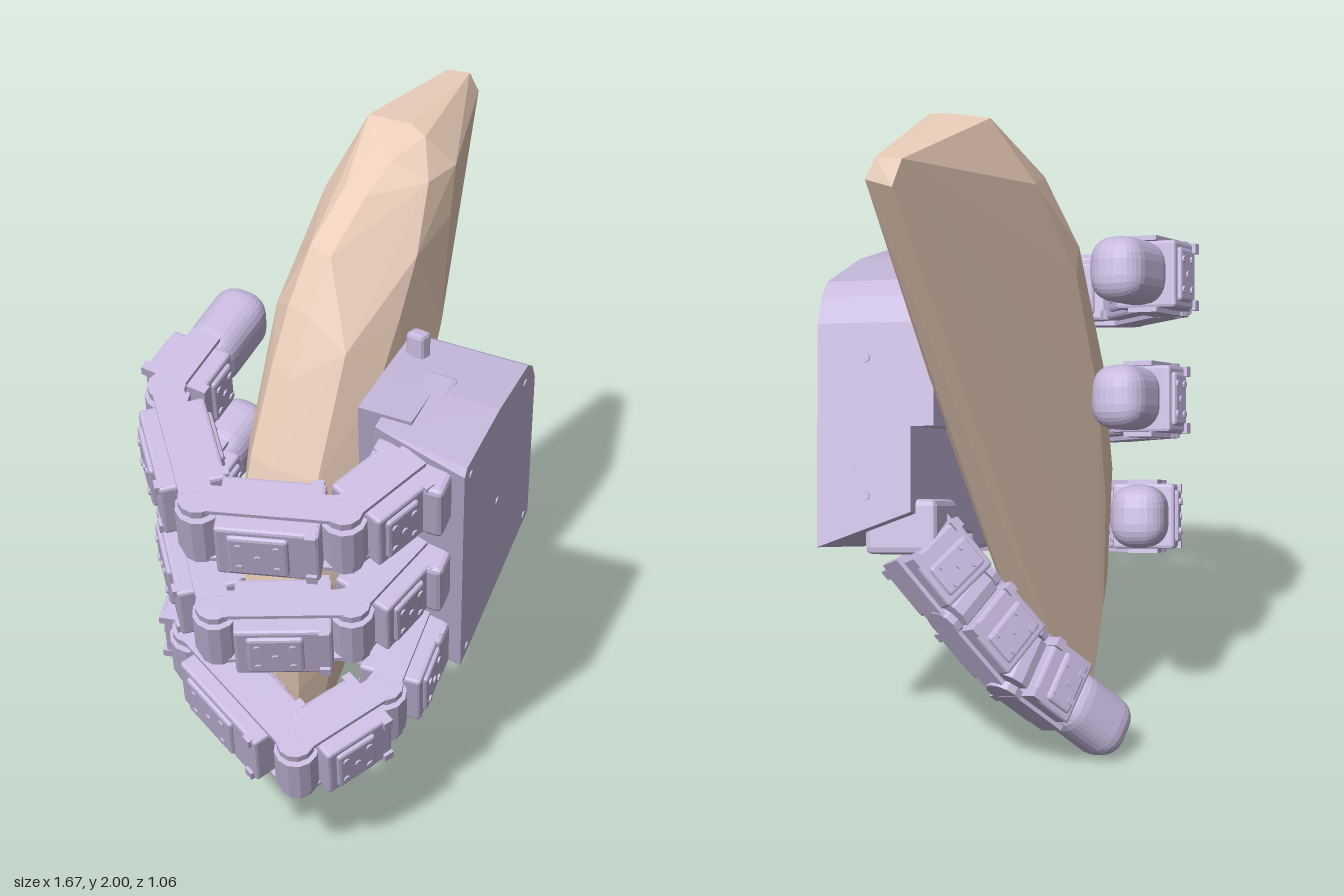
import * as THREE from 'three';
import { RoundedBoxGeometry } from 'three/addons/geometries/RoundedBoxGeometry.js';
import { ConvexGeometry } from 'three/addons/geometries/ConvexGeometry.js';

const V = (x, y, z) => new THREE.Vector3(x, y, z);
const lilac = new THREE.MeshStandardMaterial({ color: 0xc6b9dd, flatShading: true });
const tan = new THREE.MeshStandardMaterial({ color: 0xeccfbb, flatShading: true });

function add(parent, name, geometry, x = 0, y = 0, z = 0, material = lilac) {
  const mesh = new THREE.Mesh(geometry, material);
  mesh.name = name;
  mesh.position.set(x, y, z);
  parent.add(mesh);
  return mesh;
}

// Palm axes: across, along and out of its front plate
const across = V(0.57, 0.21, -0.17).normalize();
const out = across.clone().cross(V(-0.24, 0.88, 0.19)).normalize();
const along = out.clone().cross(across);
const palmPoint = (u, v, d) => V(-0.03, 0.5, 0.34)
  .addScaledVector(across, u).addScaledVector(along, v).addScaledVector(out, d);

// Group whose x axis runs from a to b, with z close to the side direction
function linkFrame(parent, name, a, b, side) {
  const x = b.clone().sub(a).normalize();
  const y = side.clone().cross(x).normalize();
  const g = new THREE.Group();
  g.name = name;
  g.quaternion.setFromRotationMatrix(new THREE.Matrix4().makeBasis(x, y, x.clone().cross(y)));
  g.position.copy(a);
  parent.add(g);
  return g;
}

// Motor block with stepped cover, side brackets and screws
function motorLink(g, length) {
  add(g, 'motorBody', new RoundedBoxGeometry(length * 0.72, 0.19, 0.2, 1, 0.01), length * 0.5);
  add(g, 'motorCover', new RoundedBoxGeometry(length * 0.42, 0.215, 0.16, 1, 0.01), length * 0.56);
  for (const s of [-1, 1]) {
    add(g, 'sideBracket', new THREE.BoxGeometry(length * 0.9, 0.09, 0.014), length * 0.5, 0, s * 0.106);
    add(g, 'bracketRib', new THREE.BoxGeometry(0.03, 0.21, 0.03), length * 0.2, 0, s * 0.085);
    for (const [i, j] of [[-1, -1], [-1, 1], [0, 0], [1, -1], [1, 1]])
      add(g, 'screw', new THREE.CylinderGeometry(0.011, 0.011, 0.012, 8),
        length * 0.56 + i * length * 0.13, s * 0.107, j * 0.045);
  }
}

// Hinge barrel with a disc on each end
function knuckle(g) {
  add(g, 'hingeBarrel', new THREE.CylinderGeometry(0.065, 0.065, 0.15, 12)).rotation.x = Math.PI / 2;
  for (const s of [-1, 1])
    add(g, 'hingeDisc', new THREE.CylinderGeometry(0.055, 0.055, 0.025, 12), 0, 0, s * 0.1).rotation.x = Math.PI / 2;
}

// Motor links along a path, ending in a rounded pad
function chain(name, path, side) {
  const finger = new THREE.Group();
  finger.name = name;
  for (let i = 0; i < path.length - 1; i++) {
    const length = path[i].distanceTo(path[i + 1]);
    const last = i === path.length - 2;
    const g = linkFrame(finger, last ? 'fingertip' : 'link', path[i], path[i + 1], side);
    if (i > 0) knuckle(g);
    motorLink(g, last ? length * 0.5 : length);
    if (last) add(g, 'tipPad', new RoundedBoxGeometry(length * 0.6, 0.165, 0.19, 3, 0.07), length * 0.7);
  }
  return finger;
}

// Faceted wedge held by the hand
function wedge() {
  const pts = [
    // straight narrow edge and both ends
    [-0.17, 0.03, -0.14], [-0.16, 0.04, -0.28], [-0.23, 0, -0.16], [-0.22, 0.01, -0.25],
    [0.83, 1.92, -0.27], [0.82, 1.91, -0.35], [0.81, 1.98, -0.29], [0.79, 1.98, -0.36],
    [0.35, 2, -0.16], [0.33, 2, -0.3], [0.33, 1.985, -0.09],
    // bulging front
    [0.25, 1.89, -0.015], [0.4, 1.89, -0.03], [0.14, 1.71, 0.03], [0.05, 1.55, 0.04], [-0.05, 1.38, 0.045],
    [-0.16, 1.08, 0.045], [-0.22, 0.8, 0.035], [-0.22, 0.5, 0], [-0.22, 0.25, -0.05],
    [0.35, 1.75, -0.01], [0.3, 1.42, 0], [0.1, 0.95, 0.02], [-0.05, 0.6, 0],
    [-0.15, 1.5, 0], [-0.29, 1.14, 0.005], [-0.37, 0.86, 0], [-0.37, 0.65, -0.015], [-0.33, 0.4, -0.045],
    // flat back, rounding towards the rim
    [0.5, 1.85, -0.36], [0.2, 1.8, -0.36], [0, 1.5, -0.36], [-0.13, 1.1, -0.355],
    [-0.2, 0.75, -0.34], [-0.22, 0.4, -0.325], [-0.21, 0.15, -0.3],
    [-0.1, 1.55, -0.3], [-0.25, 1.15, -0.29], [-0.33, 0.8, -0.275], [-0.32, 0.45, -0.27],
  ].map(p => V(...p));
  // curved rim
  for (const [x, y] of [[0.2, 1.95], [0.08, 1.88], [-0.08, 1.75], [-0.18, 1.6], [-0.26, 1.43],
    [-0.36, 1.18], [-0.43, 0.9], [-0.44, 0.73], [-0.4, 0.42], [-0.32, 0.15], [-0.27, 0.04]])
    pts.push(V(x, y, -0.11), V(x + 0.015, y, -0.2));
  return new ConvexGeometry(pts);
}

function palm() {
  const g = new THREE.Group();
  g.name = 'palm';
  const outline = [[0, 0], [0.63, 0], [0.63, 0.65], [0.6, 0.73], [0.555, 0.78], [0.3, 0.87], [0.02, 0.93], [0, 0.91]];
  const shell = [];
  const backHousing = [];
  for (const [u, v] of outline) {
    shell.push(palmPoint(u, v, 0), palmPoint(Math.max(u, 0.02), Math.max(v, 0.16 * u), -0.12));
    shell.push(palmPoint(Math.max(u, 0.07), Math.max(v, 0.04 + 0.1 * u), -0.29));
    for (const d of [-0.2, -0.36]) backHousing.push(palmPoint(Math.max(u, 0.12), Math.max(v, 0.35), d));
  }
  add(g, 'palmShell', new ConvexGeometry(shell));
  add(g, 'backHousing', new ConvexGeometry(backHousing));
  // screws on the front plate and the outer side
  const f = linkFrame(g, 'palmFittings', palmPoint(0, 0, 0), palmPoint(1, 0, 0), out);
  for (const [u, v] of [[0.05, 0.04], [0.58, 0.04], [0.05, 0.87], [0.53, 0.73], [0.3, 0.45]])
    add(f, 'plateScrew', new THREE.CylinderGeometry(0.012, 0.012, 0.008, 8), u, v, 0).rotation.x = Math.PI / 2;
  for (const v of [0.15, 0.55])
    add(f, 'sideScrew', new THREE.CylinderGeometry(0.015, 0.015, 0.01, 8), 0.63, v, -0.15).rotation.z = Math.PI / 2;
  // motor housings on the top end, left edge and thumb corner
  add(f, 'topRidge', new RoundedBoxGeometry(0.25, 0.06, 0.1, 1, 0.015), 0.26, 0.85, -0.2).rotation.z = -0.25;
  for (const v of [0.09, 0.44, 0.8])
    add(f, 'fingerMount', new RoundedBoxGeometry(0.14, 0.2, 0.24, 1, 0.015), 0, v, -0.16);
  add(f, 'thumbMount', new RoundedBoxGeometry(0.2, 0.16, 0.22, 1, 0.02), 0.49, 0.06, -0.24);
  // cable post
  add(g, 'cablePost', new RoundedBoxGeometry(0.05, 0.12, 0.06, 1, 0.012), 0.06, 1.46, 0.1);
  return g;
}

export function createModel() {
  const model = new THREE.Group();
  add(model, 'heldWedge', wedge(), 0, 0, 0, tan);
  model.add(palm());

  // Fingers curl in planes across the palm: height, then (across, out) joints
  const fingers = {
    upperFinger: [0.805, [[0.04, -0.15], [-0.22, -0.27], [-0.32, -0.66], [0.02, -0.9], [0.48, -0.84]]],
    middleFinger: [0.44, [[0.04, -0.15], [-0.26, -0.24], [-0.4, -0.6], [-0.02, -0.86], [0.37, -0.81]]],
    lowerFinger: [0.09, [[0.04, -0.15], [-0.27, -0.14], [-0.54, -0.31], [-0.28, -0.75], [0.13, -0.82]]],
  };
  for (const [name, [v, joints]] of Object.entries(fingers))
    model.add(chain(name, joints.map(([u, d]) => palmPoint(u, v, d)), along));

  // Thumb reaching down and behind
  model.add(chain('thumb', [V(0.36, 0.74, -0.04), V(0.29, 0.55, -0.18), V(0.19, 0.35, -0.3), V(-0.09, 0.05, -0.47)],
    V(0.8, -0.5, 0)));
  return model;
}
